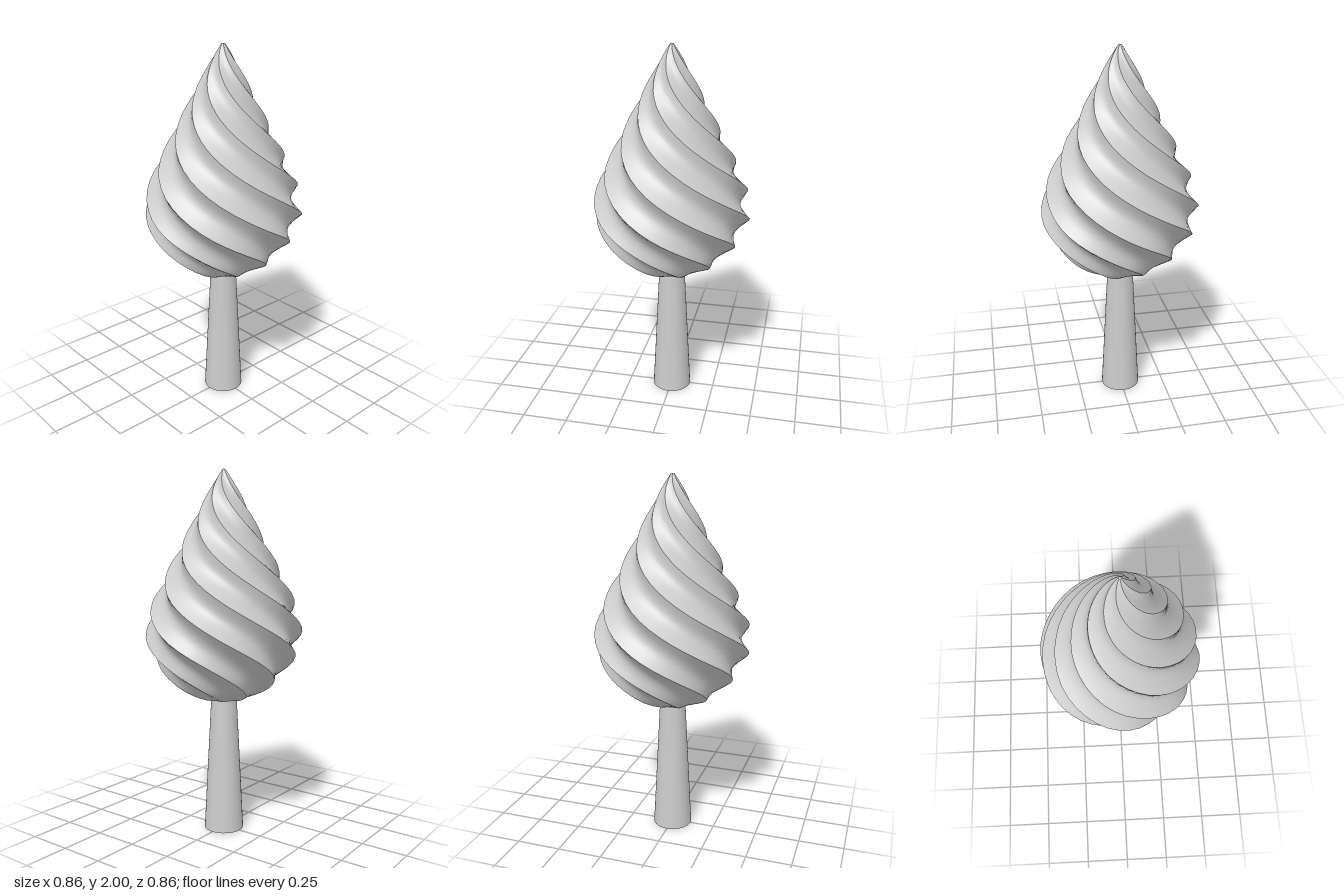
import * as THREE from 'three';
import { mergeVertices, toCreasedNormals } from 'three/addons/utils/BufferGeometryUtils.js';

const LOBES = 8;
const PITCH = 0.24; // height lost per radian of twist

// Teardrop crown: a lathe whose rings are pinched into twisted ridges
function crownGeometry() {
  const outline = [
    [0, 0.76], [0.08, 0.75], [0.17, 0.775], [0.27, 0.835], [0.37, 0.95], [0.43, 1.1], [0.4, 1.27],
    [0.315, 1.45], [0.225, 1.62], [0.14, 1.78], [0.06, 1.92], [0.012, 1.995], [0, 2],
  ].map(([r, y]) => new THREE.Vector2(r, y));
  const profile = new THREE.SplineCurve(outline).getPoints(60);
  profile.forEach((p) => { p.x = Math.max(p.x, 0); p.y = Math.min(p.y, 2); });

  let geo = new THREE.LatheGeometry(profile, 96);
  const pos = geo.attributes.position;
  for (let i = 0; i < pos.count; i++) {
    const y = pos.getY(i);
    const r = Math.hypot(pos.getX(i), pos.getZ(i));
    // rotate each ring with height so mesh columns follow the ridges
    const a = Math.atan2(pos.getX(i), pos.getZ(i));
    const pinch = 1 - 0.13 * Math.abs(Math.sin(a * LOBES / 2));
    const phi = a - 0.05 + (1.1 - y) / PITCH;
    pos.setXYZ(i, r * pinch * Math.cos(phi), y, -r * pinch * Math.sin(phi));
  }
  geo.deleteAttribute('uv');
  geo.deleteAttribute('normal');
  geo = mergeVertices(geo, 1e-5);
  return toCreasedNormals(geo, 0.6);
}

export function createModel() {
  const group = new THREE.Group();
  group.name = 'swirlTree';
  const material = new THREE.MeshStandardMaterial({ color: 0xcccccc });

  // Tapered trunk
  const trunk = new THREE.Mesh(new THREE.CylinderGeometry(0.07, 0.11, 0.78, 32), material);
  trunk.name = 'trunk';
  trunk.position.y = 0.39;

  // Twisted foliage
  const crown = new THREE.Mesh(crownGeometry(), material);
  crown.name = 'crown';

  group.add(trunk, crown);
  return group;
}
